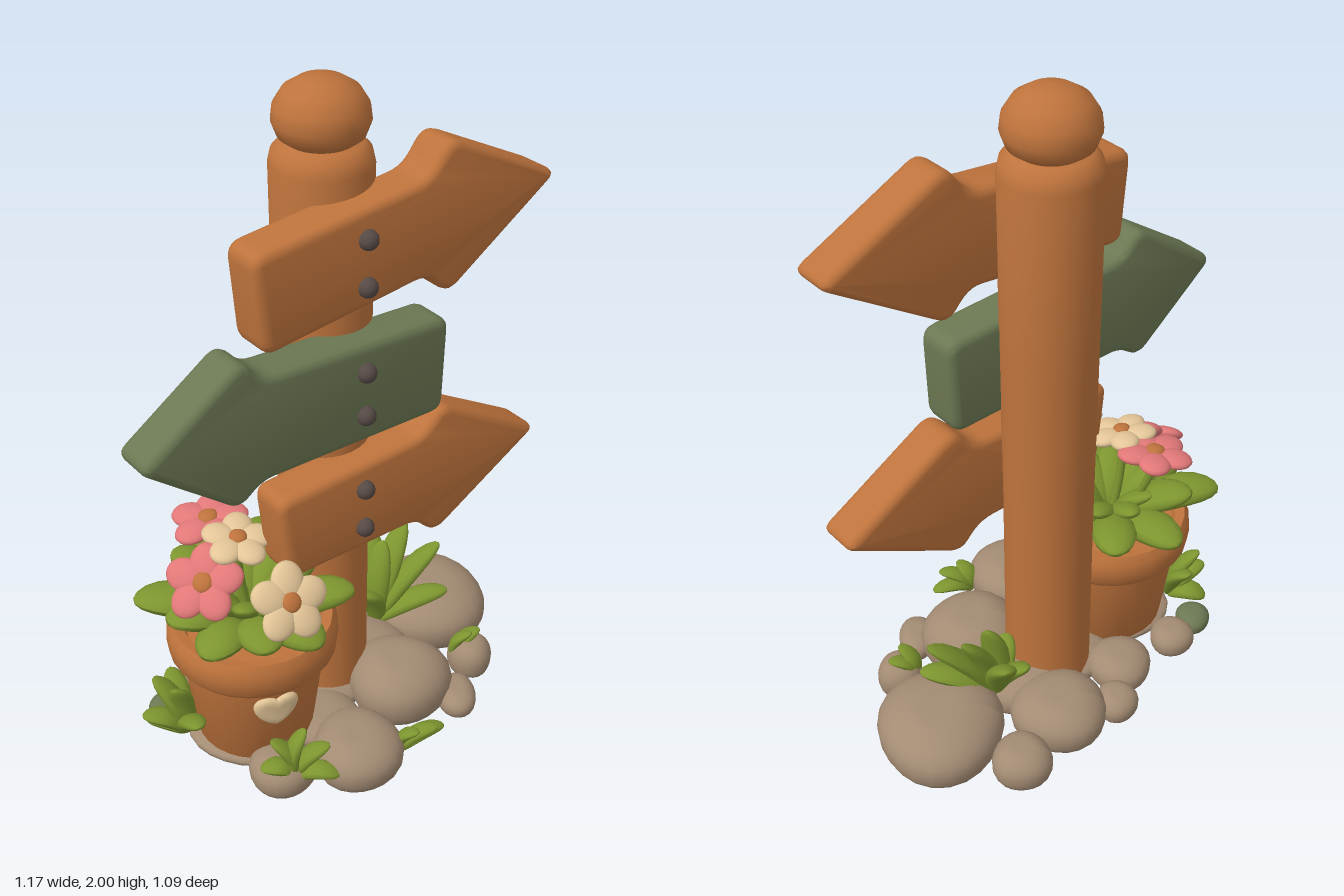
import * as THREE from 'three';
import { toCreasedNormals } from 'three/addons/utils/BufferGeometryUtils.js';

const V = (x, y, z) => new THREE.Vector3(x, y, z);
const V2 = (x, y) => new THREE.Vector2(x, y);
const mat = (name, color) => {
  const m = new THREE.MeshStandardMaterial({ color });
  m.name = name;
  return m;
};

export function createModel() {
  const wood = mat('warm wood', 0xbe733c);
  const sage = mat('sage paint', 0x6c7853);
  const leaf = mat('leaf green', 0x7d952f);
  const stone = mat('stone', 0xa38b73);
  const pink = mat('pink petal', 0xe27878);
  const cream = mat('cream petal', 0xe4c698);
  const iron = mat('dark iron', 0x564a46);

  const model = new THREE.Group();
  const add = (parent, name, geo, material, pos = V(0, 0, 0)) => {
    const m = new THREE.Mesh(geo, material);
    m.name = name;
    m.position.copy(pos);
    parent.add(m);
    return m;
  };
  const group = (name, parent = model) => {
    const g = new THREE.Group();
    g.name = name;
    parent.add(g);
    return g;
  };
  const lathe = (pts, seg = 28) =>
    toCreasedNormals(new THREE.LatheGeometry(pts.map(p => V2(...p)), seg), 0.7);

  // Sign post, turned so that the boards face front right
  const sign = group('signPost');
  sign.position.set(-0.035, 0, -0.04);
  sign.rotation.y = 0.66;
  add(sign, 'post', lathe([[0, 0.03], [0.132, 0.03], [0.132, 0.6], [0.136, 1.2], [0.14, 1.77],
    [0.132, 1.805], [0.11, 1.825], [0, 1.83]]), wood);
  add(sign, 'knob', lathe([[0, 1.815], [0.08, 1.82], [0.115, 1.845], [0.13, 1.885], [0.125, 1.925],
    [0.1, 1.965], [0.06, 1.99], [0, 2.0]]), wood);

  // Thick arrow boards with softened corners
  function roundedShape(points, r) {
    const s = new THREE.Shape();
    const p = points.map(q => V2(...q));
    p.forEach((c, i) => {
      const toward = o => c.clone().add(o.clone().sub(c).setLength(r));
      const a = toward(p[(i + p.length - 1) % p.length]);
      const b = toward(p[(i + 1) % p.length]);
      if (i === 0) s.moveTo(a.x, a.y); else s.lineTo(a.x, a.y);
      s.quadraticCurveTo(c.x, c.y, b.x, b.y);
    });
    s.closePath();
    return s;
  }
  function board(name, points, material, nails) {
    const geo = new THREE.ExtrudeGeometry(roundedShape(points, 0.045), {
      depth: 0.084, bevelThickness: 0.025, bevelSize: 0.024, bevelOffset: -0.024,
      bevelSegments: 3, curveSegments: 5,
    });
    geo.translate(0, 0, 0.102);
    add(sign, name, toCreasedNormals(geo, 0.8), material);
    for (const y of nails) {
      add(sign, 'nail', new THREE.SphereGeometry(0.028, 14, 10), iron, V(-0.015, y, 0.217));
    }
  }
  board('topBoard', [[-0.335, 1.395], [0.2, 1.46], [0.27, 1.38], [0.655, 1.64], [0.26, 1.835],
    [0.19, 1.74], [-0.36, 1.68]], wood, [1.635, 1.5]);
  board('middleBoard', [[0.27, 1.015], [0.28, 1.315], [-0.34, 1.34], [-0.4, 1.415], [-0.715, 1.2],
    [-0.42, 0.965], [-0.35, 1.025]], sage, [1.245, 1.11]);
  board('bottomBoard', [[-0.27, 0.655], [0.19, 0.655], [0.26, 0.58], [0.655, 0.81], [0.27, 1.03],
    [0.2, 0.95], [-0.3, 0.93]], wood, [0.865, 0.735]);

  // Domed stones with flat undersides: x, z, half width, half depth, height
  const rocks = group('stones');
  [
    [0.3, -0.34, 0.19, 0.2, 0.17], [-0.06, -0.28, 0.145, 0.14, 0.14], [0.06, -0.46, 0.09, 0.09, 0.11],
    [-0.24, -0.23, 0.065, 0.07, 0.08], [-0.26, -0.08, 0.1, 0.1, 0.1], [0.2, 0.04, 0.16, 0.155, 0.17],
    [0.43, -0.1, 0.07, 0.07, 0.11], [0.38, 0.07, 0.06, 0.085, 0.07], [0.07, 0.33, 0.135, 0.145, 0.135],
    [-0.15, 0.4, 0.1, 0.09, 0.105], [-0.44, 0.04, 0.07, 0.07, 0.08], [-0.52, 0.13, 0.055, 0.06, 0.06],
    [0.05, -0.12, 0.18, 0.15, 0.12], [-0.06, 0, 0.17, 0.15, 0.08], [-0.25, 0.2, 0.19, 0.17, 0.06],
    [-0.04, 0.18, 0.12, 0.12, 0.08],
  ].forEach(([x, z, rx, rz, h], i) => {
    const geo = new THREE.SphereGeometry(1, 22, 18);
    const p = geo.attributes.position;
    for (let k = 0; k < p.count; k++) {
      // widest near the ground, flat below, with a slightly uneven rim
      const y = p.getY(k), a = Math.atan2(p.getZ(k), p.getX(k));
      const grow = (1 + 0.12 * Math.max(0, y)) * (1 + 0.03 * Math.sin(3 * a + i * 1.7));
      p.setXYZ(k, p.getX(k) * grow, (Math.max(-0.5, Math.min(0.92, y)) + 0.5) / 1.42, p.getZ(k) * grow);
    }
    geo.scale(rx, h, rz);
    geo.computeVertexNormals();
    add(rocks, 'stone', geo, i === 11 ? sage : stone, V(x, 0, z));
  });

  // Plump leaf from base to tip, arched upward in the middle
  function blade(parent, base, tip, width, arch = 0.025) {
    const dir = tip.clone().sub(base), len = dir.length();
    dir.normalize();
    const side = V(dir.z, 0, -dir.x).normalize();
    const up = side.clone().cross(dir);
    if (up.y < 0) { up.negate(); side.negate(); }
    const geo = new THREE.SphereGeometry(1, 12, 10);
    const p = geo.attributes.position;
    for (let k = 0; k < p.count; k++) {
      const y = p.getY(k);
      p.setXYZ(k, p.getX(k) * width / 2 * (1 + 0.15 * y), (y + 1) * len / 2,
        p.getZ(k) * width * 0.3 + arch * (1 - y * y));
    }
    geo.computeVertexNormals();
    const m = add(parent, 'leaf', geo, leaf, base);
    m.quaternion.setFromRotationMatrix(new THREE.Matrix4().makeBasis(side, dir, up));
  }
  const tuft = (name, base, tips, width) => {
    const g = group(name);
    tips.forEach(t => blade(g, V(...base), V(...t), width));
  };
  tuft('backGrass', [0.13, 0.08, -0.22], [[0.22, 0.4, -0.34], [0.1, 0.35, -0.4], [0.04, 0.29, -0.33],
    [0.33, 0.35, -0.29], [0.36, 0.2, -0.24], [0.09, 0.25, -0.14], [0.15, 0.38, -0.26]], 0.09);
  tuft('leftGrass', [-0.45, 0.03, 0.24], [[-0.54, 0.23, 0.22], [-0.46, 0.25, 0.3], [-0.57, 0.13, 0.28],
    [-0.39, 0.19, 0.39], [-0.5, 0.2, 0.14], [-0.57, 0.05, 0.2]], 0.08);
  tuft('frontGrass', [-0.11, 0.04, 0.43], [[-0.08, 0.22, 0.42], [-0.18, 0.19, 0.44], [-0.01, 0.16, 0.42],
    [-0.21, 0.1, 0.46], [0.02, 0.08, 0.46]], 0.07);
  tuft('rightGrass', [0.2, 0.02, 0.3], [[0.33, 0.07, 0.24], [0.31, 0.11, 0.29], [0.25, 0.12, 0.33]], 0.06);
  tuft('edgeGrass', [0.38, 0.03, -0.1], [[0.46, 0.13, -0.13], [0.43, 0.15, -0.08], [0.48, 0.08, -0.08]], 0.06);

  // Flower pot with a thick rim and filled top
  const pot = group('flowerPot');
  pot.position.set(-0.24, 0, 0.19);
  add(pot, 'pot', lathe([[0, 0.03], [0.16, 0.03], [0.175, 0.05], [0.212, 0.335], [0.232, 0.34],
    [0.247, 0.36], [0.252, 0.4], [0.25, 0.435], [0.235, 0.46], [0.205, 0.455], [0.195, 0.43], [0, 0.44]]), wood);

  // Raised heart wrapped around the pot wall
  const heart = new THREE.Shape();
  heart.moveTo(0, -0.06);
  heart.bezierCurveTo(-0.04, -0.045, -0.068, -0.01, -0.065, 0.022);
  heart.bezierCurveTo(-0.06, 0.06, -0.015, 0.06, 0, 0.042);
  heart.bezierCurveTo(0.015, 0.06, 0.06, 0.06, 0.065, 0.022);
  heart.bezierCurveTo(0.068, -0.01, 0.04, -0.045, 0, -0.06);
  const raised = new THREE.ExtrudeGeometry(heart, {
    depth: 0.004, bevelThickness: 0.012, bevelSize: 0.022, bevelOffset: -0.022, bevelSegments: 3, curveSegments: 8,
  });
  const hp = raised.attributes.position;
  for (let k = 0; k < hp.count; k++) {
    const r = 0.203 + hp.getY(k) * 0.12 + hp.getZ(k), a = hp.getX(k) / 0.2;
    hp.setXYZ(k, Math.sin(a) * r, hp.getY(k), Math.cos(a) * r);
  }
  add(pot, 'heart', toCreasedNormals(raised, 1), cream, V(0, 0.26, 0)).rotation.y = 0.38;

  // Pot foliage: angle, reach, tip height
  const foliage = group('potFoliage', pot);
  [[0.1, 0.3, 0.57], [0.75, 0.28, 0.5], [1.35, 0.26, 0.53], [2.0, 0.27, 0.5],
    [2.55, 0.27, 0.55], [3.1, 0.34, 0.52], [3.6, 0.26, 0.6], [4.15, 0.33, 0.54], [4.75, 0.33, 0.56],
    [5.5, 0.26, 0.58]].forEach(([a, r, y]) => {
    const c = Math.cos(a), s = Math.sin(a);
    blade(foliage, V(c * 0.05, 0.44, s * 0.05), V(c * r, y, s * r), 0.14, 0.03);
    const d = a + 0.3, q = r * 0.6;
    blade(foliage, V(c * 0.02, 0.43, s * 0.02), V(Math.cos(d) * q, 0.59, Math.sin(d) * q), 0.09, 0.02);
  });

  // Flowers with broad overlapping petals on curved stems
  function flower(pos, facing, material, size) {
    const g = group('flower');
    const n = V(...facing).normalize(), head = V(...pos);
    const stem = new THREE.QuadraticBezierCurve3(V(-0.24, 0.42, 0.19),
      head.clone().addScaledVector(n, -0.1).add(V(0, -0.05, 0)), head.clone().addScaledVector(n, -0.01));
    add(g, 'stem', new THREE.TubeGeometry(stem, 12, 0.013, 8), leaf);
    const bloom = group('bloom', g);
    bloom.position.copy(head);
    bloom.quaternion.setFromUnitVectors(V(0, 0, 1), n);
    for (let i = 0; i < 5; i++) {
      const a = i * Math.PI * 2 / 5 + 0.3;
      const petal = add(bloom, 'petal', new THREE.SphereGeometry(1, 16, 12), material,
        V(Math.cos(a) * size * 0.54, Math.sin(a) * size * 0.54, 0));
      petal.scale.set(size * 0.52, size * 0.44, 0.022);
      petal.rotation.z = a;
    }
    add(bloom, 'flowerCentre', new THREE.SphereGeometry(1, 14, 10), wood, V(0, 0, 0.013))
      .scale.set(size * 0.27, size * 0.27, 0.014);
  }
  flower([-0.36, 0.665, 0.31], [-0.2, 0.75, 0.7], pink, 0.11);
  flower([-0.36, 0.735, 0.11], [-0.1, 1, 0.1], pink, 0.11);
  flower([-0.12, 0.64, 0.36], [0.4, 0.6, 0.7], cream, 0.11);
  flower([-0.27, 0.74, 0.21], [0.1, 1, 0.15], cream, 0.1);

  return model;
}
